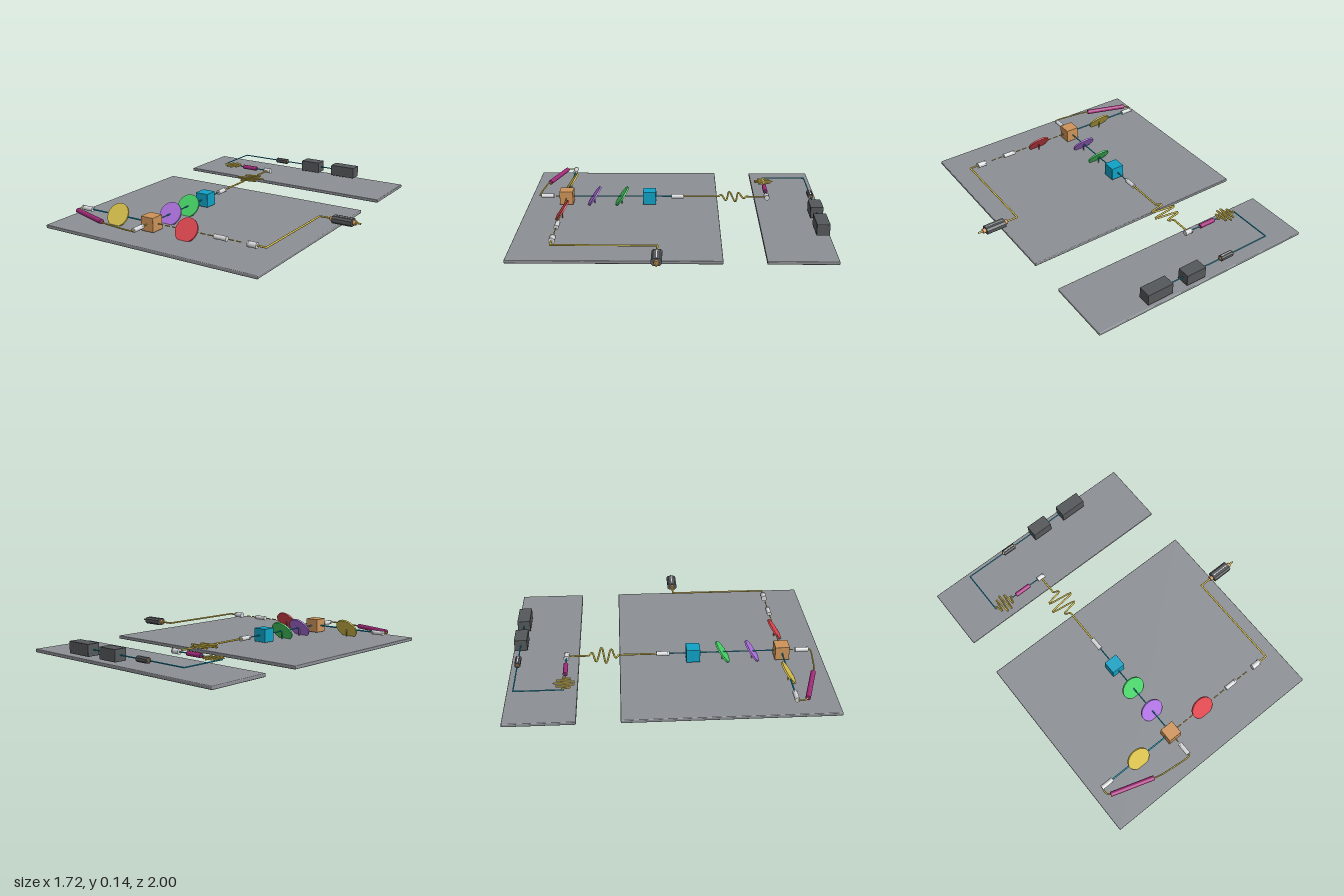
import * as THREE from 'three';
import { RoundedBoxGeometry } from 'three/addons/geometries/RoundedBoxGeometry.js';

const material = (name, color) => {
  const m = new THREE.MeshStandardMaterial({ color });
  m.name = name;
  return m;
};

export function createModel() {
  const model = new THREE.Group();
  model.name = 'opticsBench';
  const plateGray = material('plateGray', 0x8c8f94);
  const darkGray = material('darkGray', 0x55585a);
  const silver = material('silver', 0xd6d8da);
  const blue = material('blue', 0x0fa3c6);
  const green = material('green', 0x48d268);
  const purple = material('purple', 0xae72e0);
  const red = material('red', 0xdf474f);
  const yellow = material('yellow', 0xd8c04c);
  const copper = material('copper', 0xcf945a);
  const magenta = material('magenta', 0xa02a78);

  const Y = 0.075; // height of the optical axis
  const TOP = 0.022; // plate thickness
  const AX = -0.233; // main beam line, along z
  const AZ = 0.735; // cross beam line, along x
  const P = (x, z) => new THREE.Vector3(x, Y, z);

  const add = (name, geometry, mat, x = 0, y = 0, z = 0) => {
    const mesh = new THREE.Mesh(geometry, mat);
    mesh.name = name;
    mesh.position.set(x, y, z);
    model.add(mesh);
    return mesh;
  };
  const box = (name, w, h, d, mat, x, z, y = Y, r = 0.002) =>
    add(name, new RoundedBoxGeometry(w, h, d, 2, r), mat, x, y, z);

  // Cylinder between two points
  const rod = (name, a, b, radius, mat, sides = 16) => {
    const dir = b.clone().sub(a);
    const mesh = add(name, new THREE.CylinderGeometry(radius, radius, dir.length(), sides), mat);
    mesh.position.copy(a).lerp(b, 0.5);
    mesh.quaternion.setFromUnitVectors(new THREE.Vector3(0, 1, 0), dir.normalize());
    return mesh;
  };

  // Fibre with sharp bends
  const wire = (name, points, radius, mat) => {
    points.slice(1).forEach((p, i) => {
      rod(name, points[i], p, radius, mat, 8);
      if (i > 0) add(name + 'Bend', new THREE.SphereGeometry(radius, 8, 6), mat, points[i].x, Y, points[i].z);
    });
  };

  // Fibre along a smooth curve
  const smoothWire = (name, points, radius, mat, steps = 24) =>
    add(name, new THREE.TubeGeometry(new THREE.CatmullRomCurve3(points), steps, radius, 8), mat);

  // Flat winding of fibre: a sine wave that swells in the middle
  const winding = (name, a, b, height, turns, radius) => {
    const dir = b.clone().sub(a).normalize();
    const side = new THREE.Vector3(dir.z, 0, -dir.x);
    const points = [];
    const n = Math.round(turns * 16);
    for (let i = 0; i <= n; i++) {
      const t = i / n;
      const offset = height * Math.pow(Math.sin(Math.PI * t), 0.8) * Math.sin(2 * Math.PI * turns * t);
      points.push(a.clone().lerp(b, t).addScaledVector(side, offset));
    }
    smoothWire(name, points, radius, yellow, n * 2);
  };

  const dashes = (name, a, b, count) => {
    for (let i = 0; i < count; i++) {
      rod(name, a.clone().lerp(b, i / count), a.clone().lerp(b, (i + 0.65) / count), 0.004, yellow, 8);
    }
  };

  // Silver collimator with narrow end rims
  const collimator = (name, a, b, radius = 0.016) => {
    rod(name, a, b, radius * 0.92, silver);
    for (const [s, e] of [[0, 0.14], [0.86, 1]]) {
      rod(name + 'Rim', a.clone().lerp(b, s), a.clone().lerp(b, e), radius, silver);
    }
  };

  // Tilted round filter on a thin post
  const filter = (name, mat, x, z) => {
    const disc = add(name, new THREE.CylinderGeometry(0.0775, 0.0775, 0.011, 40), mat, x, Y, z);
    disc.rotation.x = Math.PI / 2 - THREE.MathUtils.degToRad(35);
    rod(name + 'Post', new THREE.Vector3(x, TOP, z), P(x, z), 0.004, mat, 8);
  };

  // Dark housing with chamfered long edges, copper ends and a slim strip on top
  const housing = (name, w, h, d, x, z, endLength) => {
    const c = h * 0.25;
    const shape = new THREE.Shape();
    const corners = [[1, 1], [-1, 1], [-1, -1], [1, -1]];
    corners.forEach(([sx, sy], i) => {
      const first = [sx * (d / 2 - c), sy * h / 2];
      const second = [sx * d / 2, sy * (h / 2 - c)];
      const pair = i % 2 ? [first, second] : [second, first];
      pair.forEach((p, j) => (i + j ? shape.lineTo(...p) : shape.moveTo(...p)));
    });
    const geometry = new THREE.ExtrudeGeometry(shape, { depth: w, bevelEnabled: false });
    geometry.translate(0, 0, -w / 2).rotateY(Math.PI / 2);
    add(name, geometry, darkGray, x, Y, z);
    add(name + 'Strip', new THREE.BoxGeometry(w * 0.85, 0.002, 0.006), silver, x, Y + h / 2 + 0.001, z);
    for (const s of [-1, 1]) {
      const from = x + s * w / 2;
      rod(name + 'End', P(from, z), P(from + s * endLength, z), h * 0.33, copper);
    }
  };

  // Base plates
  box('mainPlate', 1.542, TOP, 1.308, plateGray, -0.087, 0.346, TOP / 2, 0.005);
  box('rearPlate', 1.542, TOP, 0.432, plateGray, -0.087, -0.784, TOP / 2, 0.005);

  // Source modules on the rear plate
  box('pumpModule', 0.14, 0.076, 0.084, darkGray, -0.015, -0.949);
  box('driverModule', 0.18, 0.076, 0.084, darkGray, 0.25, -0.949);
  rod('moduleLink', P(0.055, -0.949), P(0.16, -0.949), 0.004, blue, 8);
  housing('isolator', 0.088, 0.034, 0.036, -0.279, -0.949, 0.008);
  wire('sourceFibre', [P(-0.085, -0.949), P(-0.605, -0.949), P(-0.605, -0.645)], 0.004, blue);
  winding('sourceWinding', P(-0.605, -0.645), P(-0.465, -0.645), 0.066, 4.5, 0.005);
  rod('couplerFibre', P(-0.465, -0.645), P(-0.26, -0.645), 0.004, blue, 8);
  rod('coupler', P(-0.44, -0.645), P(-0.328, -0.645), 0.015, magenta);
  collimator('rearConnector', P(-0.26, -0.645), P(-0.207, -0.645), 0.018);

  // Fibre between the plates
  wire('bridgeFibre', [P(AX, -0.645), P(AX, -0.5)], 0.006, yellow);
  winding('bridgeWinding', P(AX, -0.505), P(AX, -0.31), 0.094, 3, 0.006);
  wire('bridgeFibre', [P(AX, -0.315), P(AX, -0.07)], 0.006, yellow);

  // Main beam line
  collimator('inputCollimator', P(AX, -0.072), P(AX, 0.013));
  rod('mainBeam', P(AX, 0.013), P(AX, AZ), 0.004, blue, 8);
  box('beamCube', 0.092, 0.09, 0.088, blue, AX, 0.163);
  filter('greenFilter', green, AX, 0.355);
  filter('purpleFilter', purple, AX, 0.545);
  box('splitterCube', 0.092, 0.092, 0.092, copper, AX, AZ);

  // Left branch looping back to the front collimator
  rod('sideBeam', P(AX, AZ), P(-0.705, AZ), 0.005, blue, 8);
  filter('yellowFilter', yellow, -0.497, AZ);
  collimator('sideCollimator', P(-0.79, AZ), P(-0.705, AZ));
  smoothWire('loopFibre', [P(-0.785, AZ), P(-0.791, 0.757), P(-0.786, 0.785), P(-0.768, 0.803)], 0.005, yellow);
  rod('loopCoupler', P(-0.772, 0.801), P(-0.498, 0.889), 0.016, magenta);
  smoothWire('loopFibre',
    [P(-0.51, 0.886), P(-0.46, 0.902), P(-0.35, 0.916), P(-0.25, 0.924), P(-0.234, 0.92), P(AX, 0.9)], 0.005, yellow);
  collimator('frontCollimator', P(AX, 0.825), P(AX, 0.91));
  dashes('frontBeam', P(AX, 0.785), P(AX, 0.825), 1);

  // Right branch to the detector
  dashes('outputBeam', P(-0.18, AZ), P(0.235, AZ), 8);
  filter('redFilter', red, 0.03, AZ);
  collimator('outputCollimator', P(0.232, AZ), P(0.317, AZ));
  dashes('outputBeam', P(0.33, AZ), P(0.43, AZ), 2);
  collimator('fibreCoupler', P(0.46, AZ), P(0.522, AZ), 0.02);
  wire('detectorFibre', [P(0.522, AZ), P(0.58, AZ), P(0.58, 0.087), P(0.66, 0.087)], 0.006, yellow);
  housing('detector', 0.134, 0.046, 0.064, 0.743, 0.087, 0.02);
  rod('detectorTip', P(0.82, 0.087), P(0.86, 0.087), 0.006, yellow, 8);

  return model;
}
